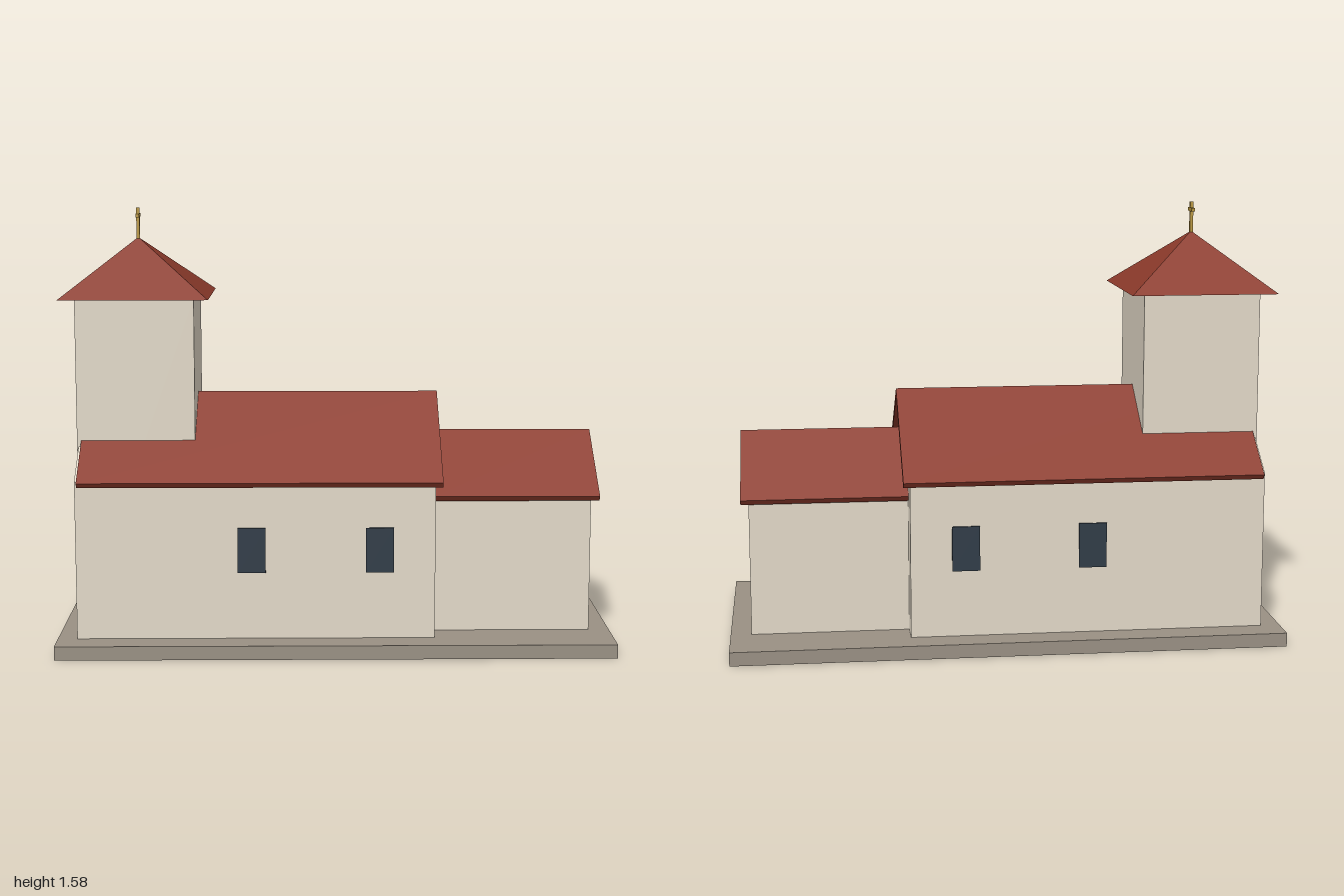
import * as THREE from 'three';

const mat = (color, name) => {
  const m = new THREE.MeshStandardMaterial({ color, flatShading: true });
  m.name = name;
  return m;
};
const SLOPE = 0.7; // roof rise per unit of run

export function createModel() {
  const church = new THREE.Group();
  church.name = 'church';
  const wall = mat(0xe3dac9, 'plaster');
  const roof = mat(0x8b3a2b, 'tiles');
  const stone = mat(0x9a9184, 'stone');
  const glass = mat(0x2f3b47, 'glass');
  const wood = mat(0x3a2318, 'wood');
  const gold = mat(0xb8963e, 'gold');

  const add = (name, geometry, material, x = 0, y = 0, z = 0) => {
    const mesh = new THREE.Mesh(geometry, material);
    mesh.name = name;
    mesh.position.set(x, y, z);
    church.add(mesh);
    return mesh;
  };
  // Box given by its lower and upper limits
  const box = (name, material, x0, x1, y0, y1, z0, z1) =>
    add(name, new THREE.BoxGeometry(x1 - x0, y1 - y0, z1 - z0), material,
      (x0 + x1) / 2, (y0 + y1) / 2, (z0 + z1) / 2);
  // Cross-section in (z, y), extruded along x
  const prism = (name, material, points, x0, x1) => {
    const shape = new THREE.Shape(points.map(([z, y]) => new THREE.Vector2(z, y)));
    const geo = new THREE.ExtrudeGeometry(shape, { depth: x1 - x0, bevelEnabled: false });
    geo.rotateY(Math.PI / 2);
    return add(name, geo, material, x0, 0, 0);
  };
  // Gabled walls under a thin chevron roof
  const hall = (name, x0, x1, halfWidth, roofX0, roofX1, eave, ridge) => {
    const inner = ridge - 0.027;
    const wallApex = inner + 0.004;
    const wallTop = wallApex - halfWidth * SLOPE;
    prism(name + 'Walls', wall, [[-halfWidth, 0.05], [halfWidth, 0.05],
      [halfWidth, wallTop], [0, wallApex], [-halfWidth, wallTop]], x0, x1);
    const e = eave - 0.0126;
    prism(name + 'Roof', roof, [[0, ridge], [-eave, ridge - eave * SLOPE],
      [-e, inner - e * SLOPE], [0, inner], [e, inner - e * SLOPE],
      [eave, ridge - eave * SLOPE]], roofX0, roofX1);
  };

  // Plinth, nave and chancel
  box('plinth', stone, -1, 1, 0, 0.05, -0.465, 0.465);
  hall('nave', -0.93, 0.355, 0.36, -0.92, 0.38, 0.393, 0.898);
  hall('chancel', 0.35, 0.925, 0.258, 0.355, 0.953, 0.287, 0.753);

  // Bell tower with pyramid roof
  const towerX = -0.722;
  box('tower', wall, -0.935, -0.508, 0.05, 1.262, -0.214, 0.214);
  const pyramid = new THREE.ConeGeometry(0.268 * Math.SQRT2, 0.21, 4);
  pyramid.rotateY(Math.PI / 4);
  add('towerRoof', pyramid, roof, towerX, 1.365, 0);

  // Cross
  box('crossPost', gold, towerX - 0.006, towerX + 0.006, 1.46, 1.578, -0.006, 0.006);
  box('crossArm', gold, towerX - 0.006, towerX + 0.006, 1.543, 1.556, -0.032, 0.032);

  // Side windows
  for (const side of [-1, 1])
    for (const x of [-0.302, 0.156])
      add('window', new THREE.BoxGeometry(0.1, 0.163, 0.012), glass, x, 0.373, side * 0.36);

  // West door and round window
  box('door', wood, -0.946, -0.93, 0.05, 0.365, -0.115, 0.115);
  const oculus = new THREE.CylinderGeometry(0.058, 0.058, 0.016, 24);
  oculus.rotateZ(Math.PI / 2);
  add('roundWindow', oculus, glass, -0.938, 0.974, 0);

  return church;
}
